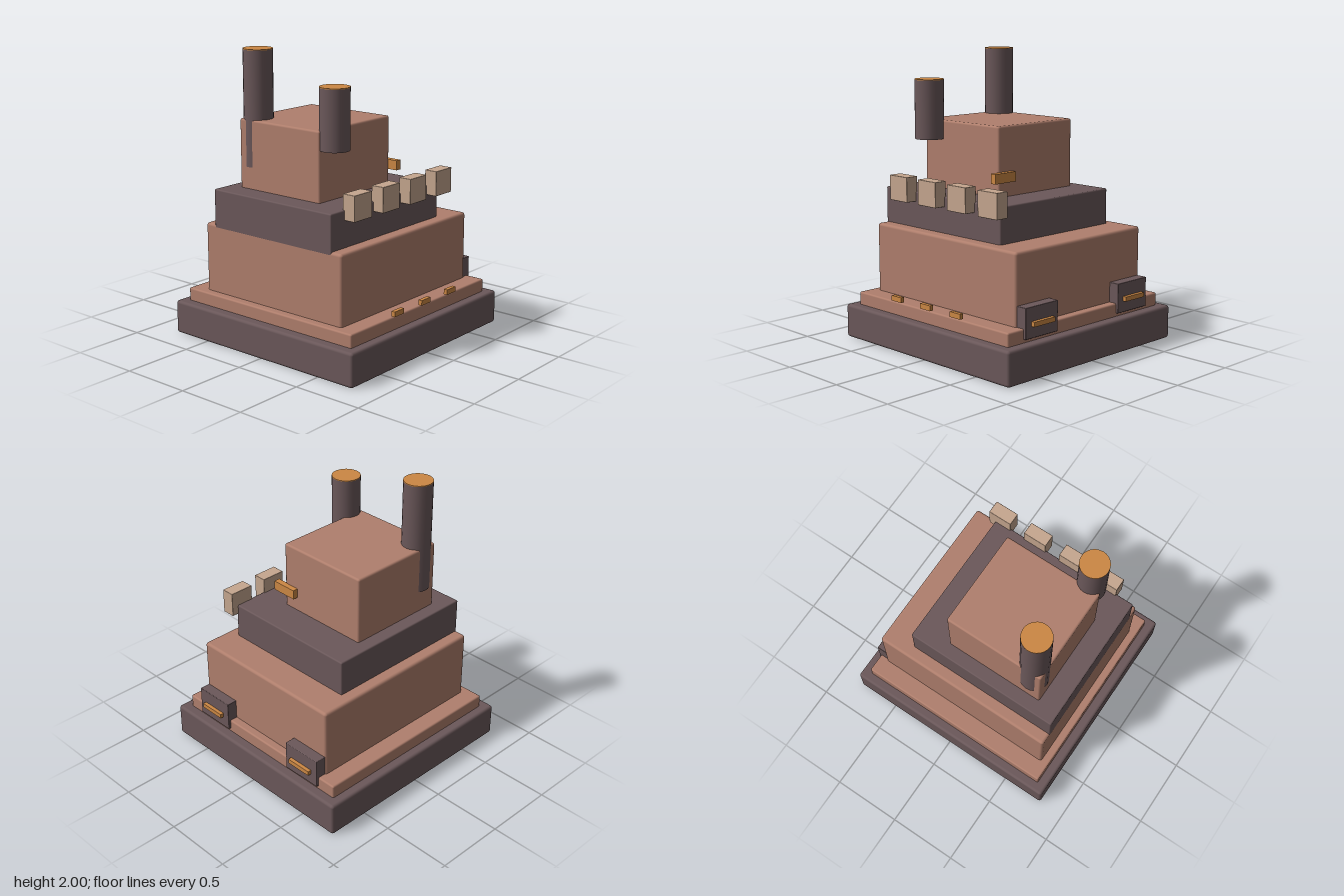
import * as THREE from 'three';
import { RoundedBoxGeometry } from 'three/addons/geometries/RoundedBoxGeometry.js';

function material(name, color) {
  const m = new THREE.MeshStandardMaterial({ color });
  m.name = name;
  return m;
}

export function createModel() {
  const model = new THREE.Group();
  model.name = 'tieredFactory';
  const clay = material('clay', 0xb07f6d);
  const dark = material('darkBrown', 0x6b585a);
  const orange = material('orange', 0xcc8844);
  const tan = material('tan', 0xc6a78f);

  // Box given by its limits on each axis, with an optional rounded edge
  function block(name, mat, [x0, x1], [y0, y1], [z0, z1], radius = 0) {
    const size = [x1 - x0, y1 - y0, z1 - z0];
    const geometry = radius
      ? new RoundedBoxGeometry(...size, 2, radius)
      : new THREE.BoxGeometry(...size);
    const mesh = new THREE.Mesh(geometry, mat);
    mesh.name = name;
    mesh.position.set((x0 + x1) / 2, (y0 + y1) / 2, (z0 + z1) / 2);
    model.add(mesh);
  }

  // Stacked tiers, each sunk slightly into the one below
  block('base', dark, [-0.81, 0.81], [0, 0.235], [-0.795, 0.795], 0.02);
  block('plinth', clay, [-0.74, 0.74], [0.21, 0.325], [-0.73, 0.73], 0.012);
  block('lowerBody', clay, [-0.683, 0.683], [0.3, 0.807], [-0.603, 0.603], 0.02);
  block('middleTier', dark, [-0.683, 0.456], [0.78, 1.055], [-0.517, 0.517], 0.01);
  block('upperBody', clay, [-0.525, 0.205], [1.03, 1.53], [-0.42, 0.286], 0.015);

  // Chimneys with thin glowing tops
  function chimney(name, z, bottom, top) {
    const radius = 0.101, capHeight = 0.006;
    const stack = new THREE.Group();
    stack.name = name;
    stack.position.set(-0.428, 0, z);
    const add = (part, mat, y0, y1) => {
      const mesh = new THREE.Mesh(new THREE.CylinderGeometry(radius, radius, y1 - y0, 24), mat);
      mesh.name = part;
      mesh.position.y = (y0 + y1) / 2;
      stack.add(mesh);
    };
    add('chimneyPipe', dark, bottom, top - capHeight);
    add('chimneyTop', orange, top - capHeight, top);
    model.add(stack);
  }
  chimney('frontChimney', 0.335, 1.4, 1.812);
  chimney('backChimney', -0.335, 1.205, 2.0);

  // Row of front battlements
  for (let i = 0; i < 4; i++) {
    const x = -0.459 + i * 0.292;
    block('battlement', tan, [x - 0.089, x + 0.089], [0.987, 1.161], [0.502, 0.597], 0.004);
  }

  // Front lamps
  for (const x of [-0.293, 0, 0.291]) {
    block('frontLamp', orange, [x - 0.049, x + 0.049], [0.341, 0.377], [0.739, 0.767]);
  }

  // Side hatches with glowing slots
  for (const s of [-1, 1]) {
    const z = s * 0.4445;
    block('sideHatch', dark, [0.66, 0.758], [0.257, 0.463], [z - 0.148, z + 0.148], 0.005);
    block('hatchSlot', orange, [0.75, 0.784], [0.336, 0.368], [z - 0.095, z + 0.095]);
  }

  // Lamp on the side of the upper body
  block('upperLamp', orange, [0.2, 0.244], [1.157, 1.224], [0.165, 0.355]);

  return model;
}
